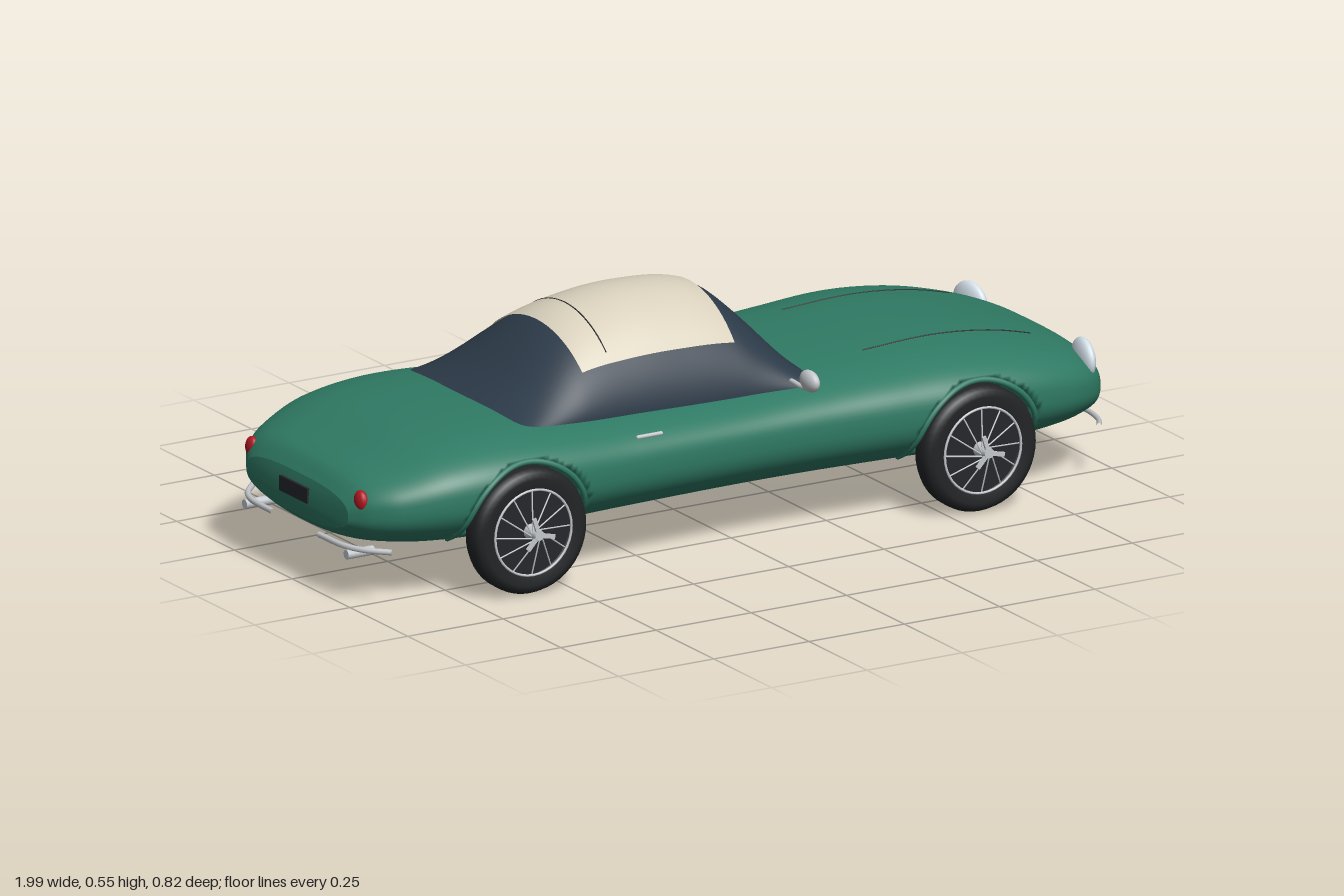
import * as THREE from 'three';

const mat = (color, side = THREE.FrontSide) => new THREE.MeshStandardMaterial({ color, side, roughness: 0.6 });
const paint = mat(0x2f7a64, THREE.DoubleSide);
const glass = mat(0x2c3a48, THREE.DoubleSide);
const cream = mat(0xd8d0bc, THREE.DoubleSide);
const rubber = mat(0x222426, THREE.DoubleSide);
const dark = mat(0x25272b);
const chrome = mat(0xc4c8cc);
const lens = mat(0xd4e0ea);
const red = mat(0xb01822);

// Body stations along the car: x, half width, top, widest level, bottom
const BODY = [
  [-0.987, 0.22, 0.25, 0.2, 0.15], [-0.96, 0.265, 0.283, 0.21, 0.128], [-0.9, 0.315, 0.31, 0.22, 0.11],
  [-0.78, 0.36, 0.35, 0.235, 0.094], [-0.6, 0.378, 0.368, 0.24, 0.09], [-0.3, 0.357, 0.352, 0.24, 0.09],
  [0, 0.343, 0.345, 0.24, 0.09], [0.2, 0.347, 0.353, 0.24, 0.09], [0.4, 0.365, 0.364, 0.24, 0.09],
  [0.57, 0.38, 0.37, 0.24, 0.09], [0.72, 0.373, 0.356, 0.236, 0.094], [0.85, 0.345, 0.325, 0.225, 0.103],
  [0.93, 0.3, 0.296, 0.21, 0.118], [0.97, 0.25, 0.268, 0.2, 0.128], [0.987, 0.2, 0.25, 0.192, 0.134],
];
// Cabin stations: x, half width, crown height
const CABIN = [
  [-0.62, 0.28, 0.34], [-0.5, 0.266, 0.405], [-0.36, 0.256, 0.503], [-0.25, 0.25, 0.538], [-0.12, 0.248, 0.55],
  [0.04, 0.25, 0.53], [0.12, 0.257, 0.467], [0.2, 0.268, 0.375], [0.24, 0.276, 0.335],
];
const WHEELS = [0.58, -0.6], WHEEL_Y = 0.147;

// Smooth (Hermite) interpolation of a station table at x
function sample(table, x) {
  let i = 0;
  while (i < table.length - 2 && x > table[i + 1][0]) i++;
  const at = k => table[Math.min(Math.max(k, 0), table.length - 1)];
  const [p, a, b, n] = [at(i - 1), at(i), at(i + 1), at(i + 2)];
  const h = b[0] - a[0], t = (x - a[0]) / h;
  return a.slice(1).map((va, k) => {
    const c = k + 1, vb = b[c];
    const ma = (vb - p[c]) / (b[0] - p[0]) * h, mb = (n[c] - va) / (n[0] - a[0]) * h;
    return va * (2 * t ** 3 - 3 * t * t + 1) + ma * (t ** 3 - 2 * t * t + t)
      + vb * (3 * t * t - 2 * t ** 3) + mb * (t ** 3 - t * t);
  });
}

const UP = 2.8, LOW = 2.4;
// Height of the body shell above (x, z), and its half width at (x, y)
function bodyY(x, z) {
  const [w, top, mid] = sample(BODY, x);
  return mid + (top - mid) * Math.max(0, 1 - Math.abs(z / w) ** UP) ** (1 / UP);
}
function bodyZ(x, y) {
  const [w, top, mid, bot] = sample(BODY, x);
  const n = y > mid ? UP : LOW, t = y > mid ? (y - mid) / (top - mid) : (mid - y) / (mid - bot);
  return w * Math.max(0, 1 - t ** n) ** (1 / n);
}
function cabinY(x, z) {
  const [w, top] = sample(CABIN, x);
  const base = Math.min(0.335, bodyY(x, w) - 0.003);
  return base + Math.max(0, top - base) * Math.max(0, 1 - (z / w) ** 2) ** 0.6;
}

// Grid surface from a rule f(u, v) -> [x, y, z]
function surface(f, nu, nv) {
  const pos = [], idx = [];
  for (let i = 0; i <= nu; i++) for (let j = 0; j <= nv; j++) pos.push(...f(i / nu, j / nv));
  for (let i = 0; i < nu; i++) for (let j = 0; j < nv; j++) {
    const a = i * (nv + 1) + j, b = a + nv + 1;
    idx.push(a, b, b + 1, a, b + 1, a + 1);
  }
  const g = new THREE.BufferGeometry();
  g.setAttribute('position', new THREE.Float32BufferAttribute(pos, 3));
  g.setIndex(idx);
  g.computeVertexNormals();
  return g;
}

function add(parent, name, geometry, material, p = [0, 0, 0], s = [1, 1, 1]) {
  const m = new THREE.Mesh(geometry, material);
  m.name = name;
  m.position.set(...p);
  m.scale.set(...s);
  parent.add(m);
  return m;
}
const tube = (pts, r, n = 24) =>
  new THREE.TubeGeometry(new THREE.CatmullRomCurve3(pts.map(p => new THREE.Vector3(...p))), n, r, 8);
const range = (n, f) => Array.from({ length: n }, (_, i) => f(i / (n - 1)));

// One body ring point, pushed in around the wheels
function bodyPoint(x, v) {
  const [w, top, mid, bot] = sample(BODY, x);
  const a = -Math.PI / 2 + v * Math.PI * 2, c = Math.cos(a), s = Math.sin(a), e = 2 / (s > 0 ? UP : LOW);
  const y = mid + Math.sign(s) * Math.abs(s) ** e * (s > 0 ? top - mid : mid - bot);
  let z = Math.sign(c) * Math.abs(c) ** e * w;
  if (WHEELS.some(wx => Math.hypot(x - wx, y - WHEEL_Y) < 0.157)) z = THREE.MathUtils.clamp(z, -0.31, 0.31);
  return [x, y, z];
}

function buildWheel() {
  const g = new THREE.Group();
  g.name = 'wheel';
  const profile = [[0.098, -0.03], [0.125, -0.036], [0.14, -0.03], [0.147, -0.015], [0.147, 0.015],
    [0.14, 0.03], [0.125, 0.036], [0.098, 0.03]].map(p => new THREE.Vector2(...p));
  add(g, 'tyre', new THREE.LatheGeometry(profile, 48).rotateX(Math.PI / 2), rubber);
  add(g, 'wheelDisc', new THREE.CylinderGeometry(0.101, 0.101, 0.04, 40).rotateX(Math.PI / 2), dark);
  add(g, 'rim', new THREE.TorusGeometry(0.1, 0.003, 8, 40), chrome, [0, 0, 0.032]);
  for (let i = 0; i < 12; i++) {
    const a = i / 12 * Math.PI * 2;
    add(g, 'spoke', tube([[0.012 * Math.cos(a + 0.9), 0.012 * Math.sin(a + 0.9), 0.046],
      [0.098 * Math.cos(a), 0.098 * Math.sin(a), 0.026]], 0.0018, 1), chrome);
  }
  add(g, 'hub', new THREE.CylinderGeometry(0.012, 0.018, 0.04, 16).rotateX(Math.PI / 2), chrome, [0, 0, 0.04]);
  for (let i = 0; i < 3; i++)
    add(g, 'hubEar', new THREE.BoxGeometry(0.01, 0.045, 0.006).translate(0, 0.02, 0), chrome, [0, 0, 0.056])
      .rotation.z = i * Math.PI * 2 / 3 + 0.3;
  return g;
}

export function createModel() {
  const car = new THREE.Group();
  car.name = 'car';

  // Body shell with closed nose and tail
  const x0 = BODY[0][0], x1 = BODY[BODY.length - 1][0];
  add(car, 'body', surface((u, v) => bodyPoint(x0 + (x1 - x0) * u, v), 180, 96), paint);
  for (const [name, x, d] of [['nosePanel', x1, 1], ['tailPanel', x0, -1]])
    add(car, name, surface((u, v) => {
      const p = bodyPoint(x, v), k = 1 - u;
      return [x + d * 0.007 * (1 - k * k), 0.195 + (p[1] - 0.195) * k, p[2] * k];
    }, 6, 64), paint);

  // Cabin glass and cream roof panel
  add(car, 'cabin', surface((u, v) => {
    const x = -0.62 + 0.86 * u, z = sample(CABIN, x)[0] * Math.cos(v * Math.PI);
    return [x, cabinY(x, z), z];
  }, 60, 48), glass);
  add(car, 'roofPanel', surface((u, v) => {
    const x = -0.36 + 0.4 * u, z = 0.2 - 0.4 * v;
    return [x, cabinY(x, z) + 0.004, z];
  }, 30, 30), cream);
  add(car, 'roofSeam', tube(range(12, t => {
    const z = 0.18 - 0.36 * t;
    return [-0.285, cabinY(-0.285, z) + 0.003, z];
  }), 0.002), dark);

  // Grille mouth and rear plate
  add(car, 'grille', new THREE.SphereGeometry(1, 40, 20), dark, [0.982, 0.19, 0], [0.014, 0.054, 0.175]);
  add(car, 'rearPlate', new THREE.BoxGeometry(0.012, 0.035, 0.12), dark, [-0.992, 0.21, 0]);

  for (const s of [1, -1]) {
    // Wheels and the arch lips that follow the body side
    for (const wx of WHEELS) {
      const w = buildWheel();
      w.position.set(wx, WHEEL_Y, s * 0.352);
      if (s < 0) w.rotation.y = Math.PI;
      car.add(w);
      add(car, 'archLip', tube(range(24, t => {
        const a = -0.12 + t * (Math.PI + 0.24), x = wx + 0.158 * Math.cos(a), y = WHEEL_Y + 0.158 * Math.sin(a);
        return [x, y, s * (bodyZ(x, y) - 0.003)];
      }), 0.007, 48), paint);
    }
    // Lamps
    const lamp = add(car, 'headlight', new THREE.SphereGeometry(1, 24, 16), lens, [0.928, 0.27, s * 0.245], [0.02, 0.048, 0.056]);
    lamp.rotation.y = -s * 0.15;
    add(car, 'tailLight', new THREE.SphereGeometry(1, 16, 12), red, [-0.962, 0.24, s * 0.235], [0.014, 0.026, 0.022]);
    // Bumper bars
    add(car, 'frontBumper', tube([[0.99, 0.113, s * 0.1], [0.985, 0.116, s * 0.18], [0.965, 0.12, s * 0.25], [0.93, 0.128, s * 0.31]], 0.006), chrome);
    add(car, 'rearBumper', tube([[-0.99, 0.13, s * 0.1], [-0.985, 0.13, s * 0.2], [-0.965, 0.13, s * 0.25], [-0.92, 0.13, s * 0.3]], 0.007), chrome);
    add(car, 'exhaust', new THREE.CylinderGeometry(0.011, 0.011, 0.07, 14).rotateZ(Math.PI / 2), chrome, [-0.957, 0.115, s * 0.22]);
    // Mirror, door handle and bonnet crease
    add(car, 'mirrorArm', tube([[0.14, 0.355, s * 0.28], [0.14, 0.355, s * 0.34], [0.14, 0.368, s * 0.355]], 0.006), chrome);
    add(car, 'mirror', new THREE.SphereGeometry(1, 20, 14), chrome, [0.14, 0.376, s * 0.36], [0.016, 0.025, 0.036]);
    add(car, 'doorHandle', new THREE.CapsuleGeometry(0.005, 0.06, 4, 8).rotateZ(Math.PI / 2), chrome, [-0.26, 0.305, s * (bodyZ(-0.26, 0.305) + 0.003)]);
    add(car, 'bonnetCrease', tube(range(12, t => {
      const x = 0.39 + 0.44 * t;
      return [x, bodyY(x, 0.175), s * 0.175];
    }), 0.002), dark);
  }
  return car;
}
